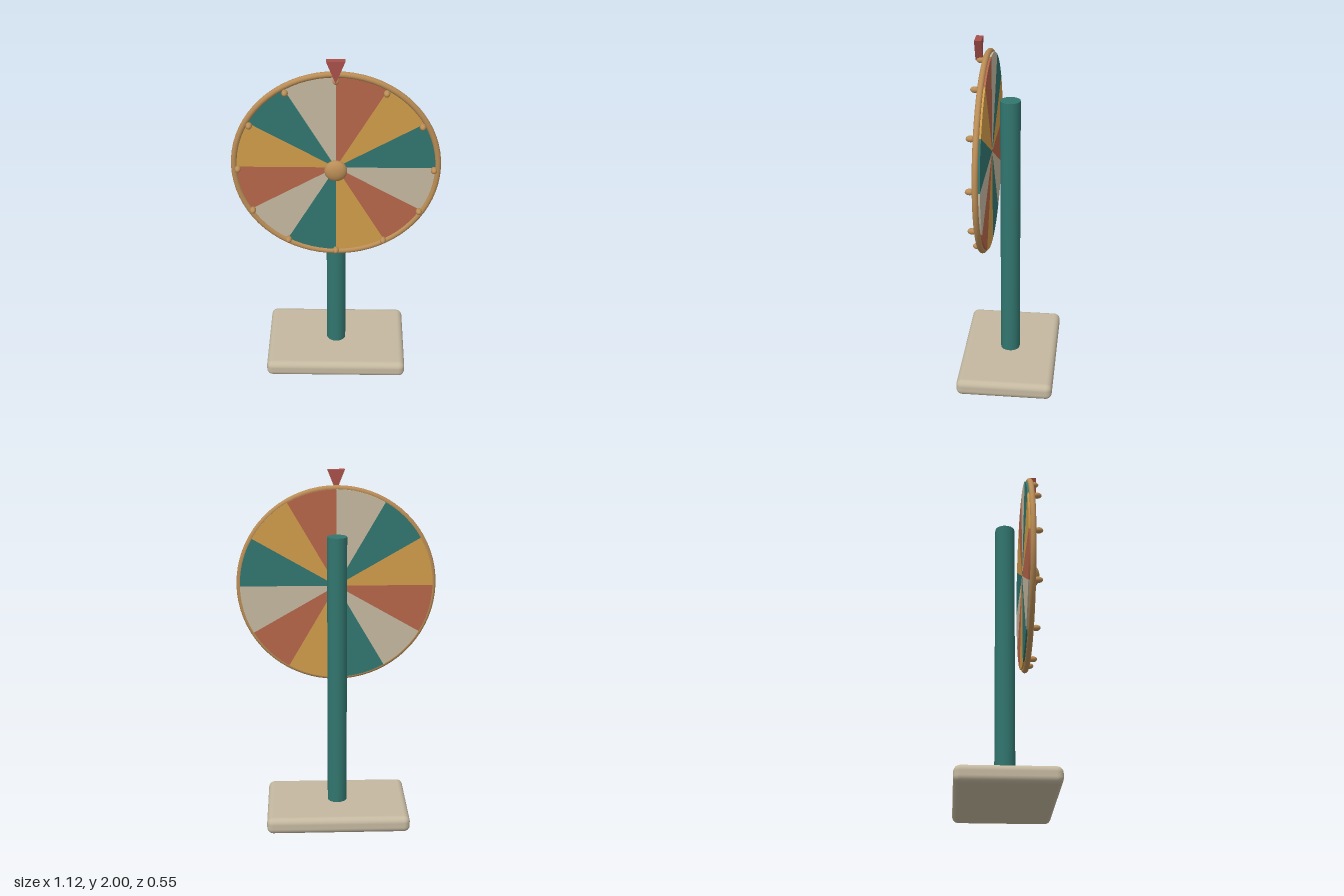
import * as THREE from 'three';
import { RoundedBoxGeometry } from 'three/addons/geometries/RoundedBoxGeometry.js';

const paint = (name, color) => {
  const m = new THREE.MeshStandardMaterial({ color });
  m.name = name;
  return m;
};

export function createModel() {
  const cream = paint('cream', 0xc4b8a0);
  const teal = paint('teal', 0x32766f);
  const red = paint('brick red', 0xb5664a);
  const gold = paint('gold', 0xcf9c4a);
  const wood = paint('warm wood', 0xba8d56);
  const crimson = paint('pointer red', 0xa8504a);

  const model = new THREE.Group();
  model.name = 'prizeWheel';
  const add = (parent, name, geometry, material, x = 0, y = 0, z = 0) => {
    const mesh = new THREE.Mesh(geometry, material);
    mesh.name = name;
    mesh.position.set(x, y, z);
    parent.add(mesh);
    return mesh;
  };

  // Stand
  add(model, 'base', new RoundedBoxGeometry(0.81, 0.095, 0.547, 3, 0.035), cream, 0, 0.0525, 0);
  add(model, 'post', new THREE.CylinderGeometry(0.056, 0.056, 1.57, 14), teal, 0, 0.875, 0);

  // Wheel, centred on its axle
  const wheel = new THREE.Group();
  wheel.name = 'wheel';
  wheel.position.set(0, 1.36, 0);
  model.add(wheel);

  const count = 12;
  const step = (Math.PI * 2) / count;
  const colours = [red, gold, teal, cream];
  const pegShape = new THREE.SphereGeometry(0.017, 14, 10).scale(1, 1, 1.5);
  for (let i = 0; i < count; i++) {
    // Wedges run clockwise from the top
    const wedge = new THREE.CylinderGeometry(0.54, 0.54, 0.03, 6, 1, false, Math.PI - (i + 1) * step, step);
    wedge.rotateX(Math.PI / 2);
    add(wheel, 'wedge', wedge, colours[i % 4], 0, 0, 0.115);
    // One peg on each dividing line
    add(wheel, 'peg', pegShape, wood, 0.521 * Math.sin(i * step), 0.521 * Math.cos(i * step), 0.154);
  }
  add(wheel, 'rim', new THREE.TorusGeometry(0.544, 0.016, 12, 72), wood, 0, 0, 0.125);
  add(wheel, 'hub', new THREE.SphereGeometry(0.061, 24, 16).scale(1, 1, 0.55), wood, 0, 0, 0.166);

  // Pointer above the rim
  const triangle = new THREE.Shape();
  triangle.moveTo(-0.048, 2);
  triangle.lineTo(0, 1.88);
  triangle.lineTo(0.048, 2);
  triangle.closePath();
  const pointer = new THREE.ExtrudeGeometry(triangle, { depth: 0.038, bevelEnabled: false });
  add(model, 'pointer', pointer, crimson, 0, 0, 0.147);

  return model;
}
